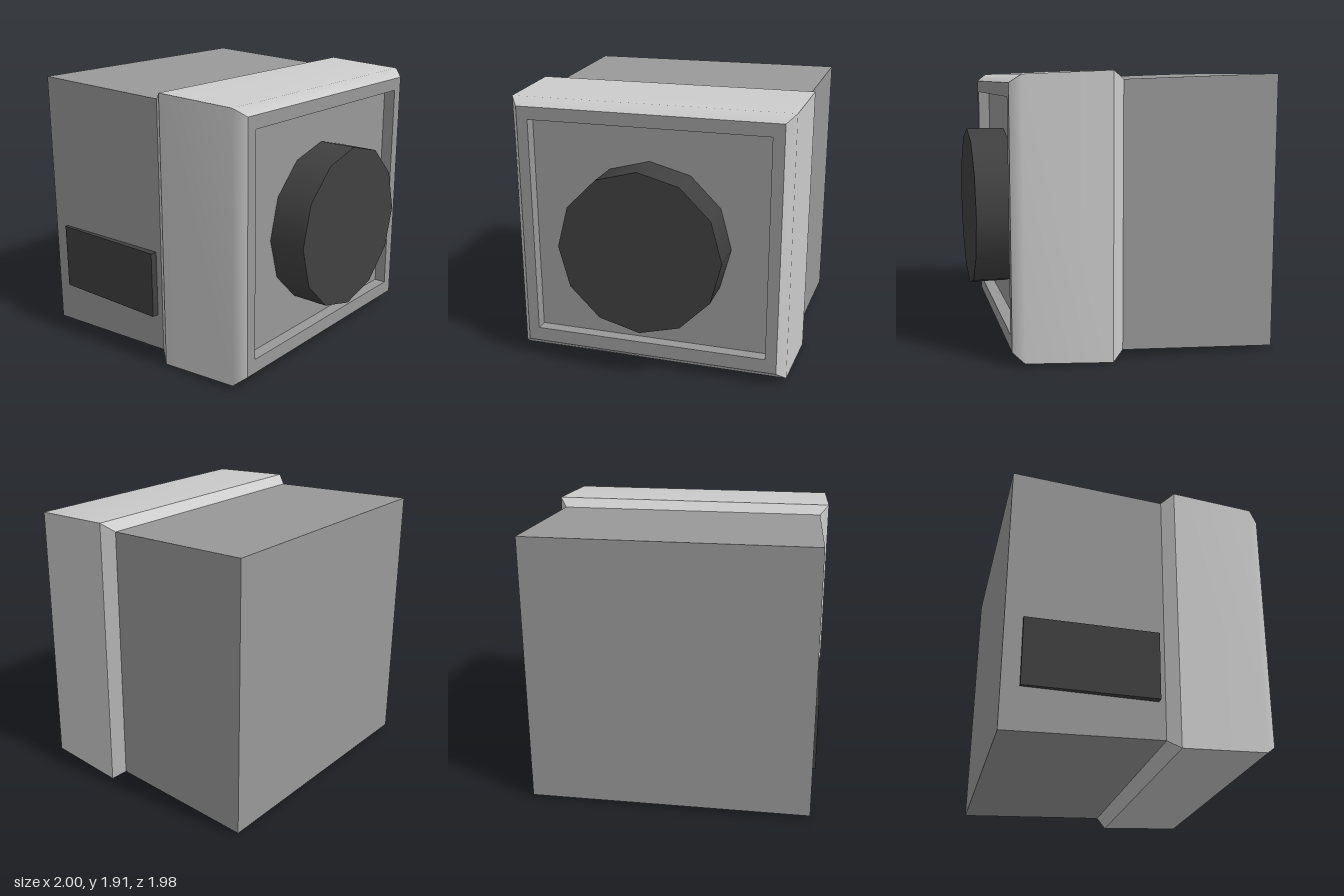
import * as THREE from 'three';

// Rectangular cross-section at depth z: half width and lower / upper edge.
const sec = (z, hw, y0, y1) => [[-hw, y0, z], [hw, y0, z], [hw, y1, z], [-hw, y1, z]];

// Skin through cross-sections; the four sides meet in sharp corners.
// smooth = true blends the normals along each side.
function loft(name, sections, material, smooth) {
  const pos = [], idx = [];
  for (let s = 0; s < 4; s++) {
    const t = (s + 1) % 4;
    const base = pos.length / 3;
    sections.forEach((c) => pos.push(...c[s], ...c[t]));
    for (let k = 0; k < sections.length - 1; k++) {
      const p = base + 2 * k;
      idx.push(p, p + 1, p + 3, p, p + 3, p + 2);
    }
  }
  let geo = new THREE.BufferGeometry();
  geo.setAttribute('position', new THREE.Float32BufferAttribute(pos, 3));
  geo.setIndex(idx);
  if (!smooth) geo = geo.toNonIndexed();
  geo.computeVertexNormals();
  const mesh = new THREE.Mesh(geo, material);
  mesh.name = name;
  return mesh;
}

export function createModel() {
  const group = new THREE.Group();
  const light = new THREE.MeshStandardMaterial({ color: 0xcccccc });
  const grey = new THREE.MeshStandardMaterial({ color: 0x999999 });
  const dark = new THREE.MeshStandardMaterial({ color: 0x404040 });

  // Tapered rear housing with a closed back
  group.add(loft('housing', [
    sec(-0.99, 0, 0.96, 0.96),
    sec(-0.99, 0.97, 0.022, 1.895),
    sec(0.07, 0.94, 0.063, 1.858),
  ], grey, false));

  // Collar: step out from the housing, then a softly shaded bezel
  const step = sec(0.15, 1, 0, 1.915);
  group.add(loft('collarStep', [sec(0.07, 0.94, 0.063, 1.858), step], light, false));
  group.add(loft('collar', [
    step,
    sec(0.735, 0.977, 0.03, 1.89),
    sec(0.81, 0.917, 0.092, 1.836),
  ], light, true));

  // Front rim, recess walls and recessed panel
  group.add(loft('frontPanel', [
    sec(0.81, 0.917, 0.092, 1.836),
    sec(0.81, 0.838, 0.192, 1.747),
    sec(0.725, 0.838, 0.192, 1.747),
    sec(0.725, 0, 0.967, 0.967),
  ], grey, false));

  // Twelve-sided round front piece
  const knob = new THREE.Mesh(new THREE.CylinderGeometry(0.57, 0.57, 0.275, 12), dark);
  knob.name = 'frontKnob';
  knob.rotation.x = Math.PI / 2;
  knob.position.set(0, 0.93, 0.8525);
  group.add(knob);

  // Plate on the right side of the housing
  const plate = new THREE.Mesh(new THREE.BoxGeometry(0.07, 0.47, 0.895), dark);
  plate.name = 'sidePlate';
  plate.position.set(-0.955, 0.555, -0.4225);
  group.add(plate);

  return group;
}
